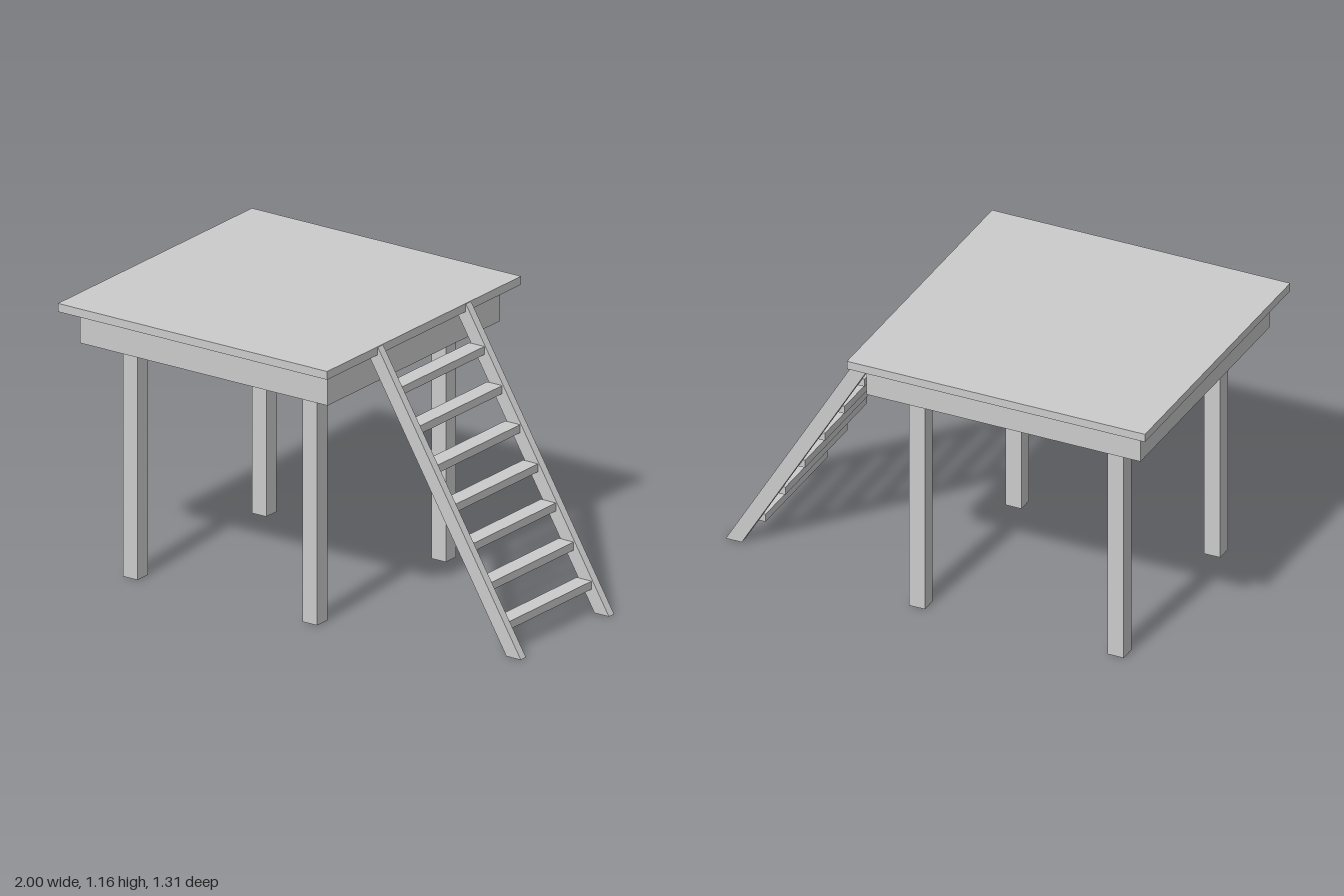
import * as THREE from 'three';

export function createModel() {
  const group = new THREE.Group();
  const material = new THREE.MeshStandardMaterial({ color: 0xcccccc, flatShading: true });

  // Box given by its lower and upper limits on each axis
  function board(name, [x0, x1], [y0, y1], [z0, z1]) {
    const mesh = new THREE.Mesh(new THREE.BoxGeometry(x1 - x0, y1 - y0, z1 - z0), material);
    mesh.position.set((x0 + x1) / 2, (y0 + y1) / 2, (z0 + z1) / 2);
    mesh.name = name;
    group.add(mesh);
  }

  // Platform deck
  board('deck', [-1, 0.305], [1.13, 1.165], [-0.655, 0.655]);

  // Thin apron boards, forming a frame open at the bottom
  const t = 0.006, apronY = [0.988, 1.13];
  board('leftApron', [0.255 - t, 0.255], apronY, [-0.582 + t, 0.582 - t]);
  board('rightApron', [-0.945, -0.945 + t], apronY, [-0.582 + t, 0.582 - t]);
  board('frontApron', [-0.945, 0.255], apronY, [0.582 - t, 0.582]);
  board('backApron', [-0.945, 0.255], apronY, [-0.582, -0.582 + t]);

  // Four posts reaching the underside of the deck
  for (const x of [-0.817, 0.053])
    for (const z of [-0.47, 0.4])
      board('leg', [x, x + 0.07], [0, 1.13], [z, z + 0.07]);

  // Sloping ladder rails, cut flat at the ground and fitted to the deck edge
  const profile = new THREE.Shape([
    [0.93, 0], [1, 0], [0.307, 1.163], [0.305, 1.163], [0.305, 1.13], [0.257, 1.13],
  ].map(([x, y]) => new THREE.Vector2(x, y)));
  const railGeometry = new THREE.ExtrudeGeometry(profile, { depth: 0.035, bevelEnabled: false });
  for (const z of [-0.315, 0.28]) {
    const rail = new THREE.Mesh(railGeometry, material);
    rail.position.z = z;
    rail.name = 'ladderRail';
    group.add(rail);
  }

  // Level treads between the rails
  for (let i = 0; i < 7; i++) {
    const x = 0.843 - i * 0.0867, y = 0.097 + i * 0.1455;
    board('tread', [x, x + 0.073], [y, y + 0.034], [-0.28, 0.28]);
  }

  return group;
}
